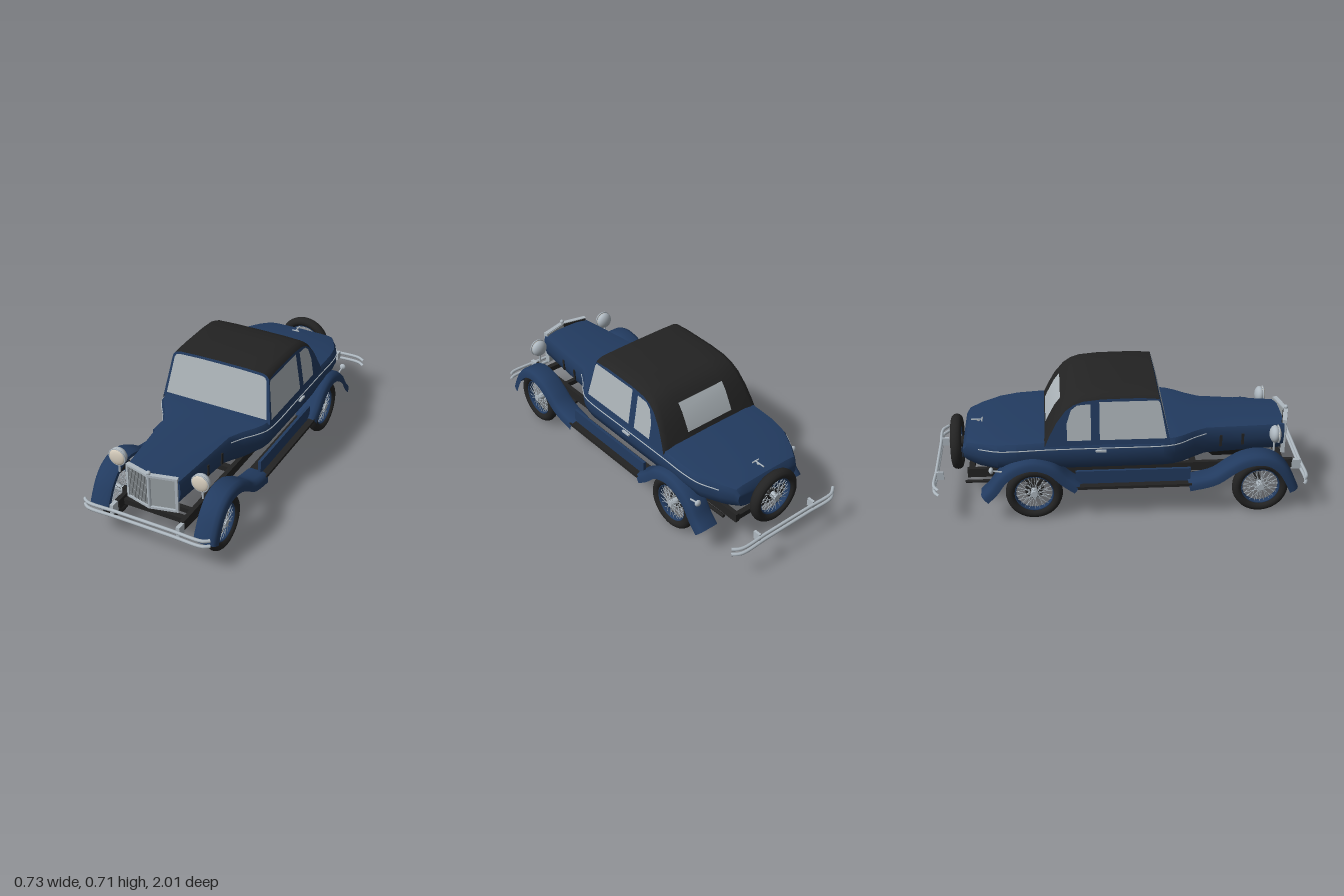
import * as THREE from 'three';
import { toCreasedNormals } from 'three/addons/utils/BufferGeometryUtils.js';

const mat = (name, color, side = THREE.FrontSide) => {
  const m = new THREE.MeshStandardMaterial({ color, side });
  m.name = name;
  return m;
};
const V = (x, y, z) => new THREE.Vector3(x, y, z);
const lerp = THREE.MathUtils.lerp;

export function createModel() {
  const car = new THREE.Group();
  car.name = 'coupe';
  const blue = mat('navy paint', 0x223b60, THREE.DoubleSide);
  const black = mat('black', 0x232323, THREE.DoubleSide);
  const silver = mat('silver', 0xaeb8c0);
  const cream = mat('lamp lens', 0xd6cdbd);
  const glass = mat('window glass', 0xacb4b9, THREE.DoubleSide);
  const grey = mat('radiator panel', 0x989fa3);

  const add = (name, geo, m, parent = car, x = 0, y = 0, z = 0) => {
    const mesh = new THREE.Mesh(geo, m);
    mesh.name = name;
    mesh.position.set(x, y, z);
    parent.add(mesh);
    return mesh;
  };
  const box = (name, w, h, d, m, x, y, z, parent) =>
    add(name, new THREE.BoxGeometry(w, h, d), m, parent, x, y, z);
  const bar = (name, a, b, r, m, parent, sides = 8) => {
    const mesh = add(name, new THREE.CylinderGeometry(r, r, a.distanceTo(b), sides), m, parent);
    mesh.position.copy(a).lerp(b, 0.5);
    mesh.quaternion.setFromUnitVectors(V(0, 1, 0), b.clone().sub(a).normalize());
    return mesh;
  };
  const tube = (name, pts, r, m, parent) =>
    add(name, new THREE.TubeGeometry(new THREE.CatmullRomCurve3(pts, false, 'centripetal'), 40, r, 8), m, parent);
  // Skin rows of points into one surface
  const loft = (rows, crease = 0.6) => {
    const n = rows[0].length, idx = [];
    for (let i = 0; i < rows.length - 1; i++)
      for (let j = 0; j < n - 1; j++) {
        const a = i * n + j, b = a + n;
        idx.push(a, b, a + 1, b, b + 1, a + 1);
      }
    const g = new THREE.BufferGeometry().setFromPoints(rows.flat());
    g.setIndex(idx);
    return toCreasedNormals(g, crease);
  };

  // Lower body and hood: [z, half width, bottom, top]
  const stations = [
    [0.89, 0.155, 0.26, 0.445], [0.68, 0.178, 0.26, 0.452], [0.46, 0.2, 0.255, 0.46],
    [0.39, 0.24, 0.245, 0.463], [0.33, 0.285, 0.24, 0.465], [0.28, 0.313, 0.24, 0.466],
    [0.22, 0.324, 0.24, 0.466], [-0.1, 0.326, 0.24, 0.466], [-0.4, 0.325, 0.24, 0.463],
    [-0.55, 0.322, 0.24, 0.455], [-0.65, 0.305, 0.24, 0.445], [-0.75, 0.255, 0.245, 0.432],
    [-0.815, 0.212, 0.265, 0.418], [-0.835, 0.2, 0.285, 0.385]];
  const half = [[0, 0], [0.45, 0], [0.75, 0.1], [0.93, 0.3], [1, 0.55], [1, 0.84], [0.95, 0.95], [0.75, 0.985], [0, 1]];
  const ring = [...half, ...half.slice(0, -1).reverse().map(([x, y]) => [-x, y])];
  const rows = stations.map(([z, w, b, t]) => ring.map(([x, y]) => V(x * w, lerp(b, t, y), z)));
  const cap = r => r.map(() => V(0, 0.35, r[0].z));
  add('body', loft([cap(rows[0]), ...rows, cap(rows[rows.length - 1])]), blue);
  for (const s of [1, -1])
    tube('beltTrim', stations.slice(2, 12).map(([z, w, b, t]) => V(s * (w + 0.001), lerp(b, t, 0.8), z)), 0.003, silver);

  // Cabin: [top z, base z, roof height]
  const wallX = y => 0.318 - (y - 0.455) * 0.16;
  const cabin = [[0.19, 0.25, 0.706], [0.1, 0.1, 0.714], [-0.1, 0.1 - 0.2, 0.712], [-0.2, -0.2, 0.702],
    [-0.25, -0.25, 0.684], [-0.29, -0.29, 0.655], [-0.34, -0.34, 0.59], [-0.38, -0.38, 0.513], [-0.41, -0.41, 0.445]];
  const at = ([zt, zb, t], x, y) => V(x, y, zt + (zb - zt) * (t - y) / (t - 0.455));
  for (const s of [1, -1])
    add('cabinSide', loft(cabin.map(c => [0.43, c[2] - 0.03].map(y => {
      const h = Math.min(y, c[2] - 0.03);
      return at(c, s * wallX(h), h);
    }))), blue);
  add('roof', loft(cabin.map(c => {
    const t = c[2], w = wallX(t);
    const h = [[w + 0.005, 0.03], [w - 0.006, 0.014], [w - 0.03, 0.005], [0.15, 0.001], [0, 0]];
    return [...h, ...h.slice(0, -1).reverse().map(([x, d]) => [-x, d])].map(([x, d]) => at(c, x, t - d));
  }), 0.9), black);

  // Flat outline bent onto a sloping wall
  const panel = (name, pts, m, place) => {
    const g = new THREE.ShapeGeometry(new THREE.Shape(pts.map(p => new THREE.Vector2(...p))));
    const p = g.attributes.position;
    for (let i = 0; i < p.count; i++) p.setXYZ(i, ...place(p.getX(i), p.getY(i)));
    g.computeVertexNormals();
    add(name, g, m);
  };
  const lean = off => (x, y) => [x, y, at(cabin[0], x, y).z + off];
  const mirrored = h => [...h, ...h.slice().reverse().map(([x, y]) => [-x, y])];
  panel('windshieldFrame', mirrored([[0.32, 0.445], [0.284, 0.676], [0.272, 0.692], [0.248, 0.701], [0.12, 0.705]]), blue, lean(0));
  panel('windshield', mirrored([[0.3, 0.467], [0.272, 0.668], [0.262, 0.684], [0.24, 0.69], [0.12, 0.694]]), glass, lean(0.004));
  for (const s of [1, -1]) {
    const side = (z, y) => [s * (wallX(y) + 0.004), y, z];
    panel('doorWindow', [[0.235, 0.465], [0.2, 0.655], [0.19, 0.67], [-0.115, 0.67], [-0.115, 0.465]], glass, side);
    panel('quarterWindow', [[-0.16, 0.465], [-0.16, 0.66], [-0.23, 0.655], [-0.262, 0.63], [-0.285, 0.56], [-0.285, 0.465]], glass, side);
    box('doorHandle', 0.012, 0.01, 0.055, silver, s * 0.334, 0.408, -0.11);
    for (const z of [0.66, 0.54])
      box('hoodVent', 0.008, 0.065, 0.014, black, s * (0.155 + (0.89 - z) * 0.105 + 0.002), 0.37, z);
  }
  add('rearWindow', loft([[0.634, -0.315], [0.593, -0.346], [0.516, -0.386], [0.492, -0.396]]
    .map(([y, z]) => [V(0.15, y, z), V(-0.15, y, z)])), glass);

  // Trunk handle
  bar('trunkHandlePost', V(0, 0.425, -0.75), V(0, 0.44, -0.77), 0.005, silver);
  bar('trunkHandle', V(-0.022, 0.44, -0.74), V(0.022, 0.44, -0.74), 0.004, silver);
  bar('trunkHandleStem', V(0, 0.44, -0.74), V(0, 0.44, -0.8), 0.004, silver);

  // V-shaped radiator, slatted on one half
  for (const s of [1, -1]) {
    const r = new THREE.Group();
    r.name = 'radiatorHalf';
    r.position.set(0, 0, 0.925);
    r.rotation.y = s * 0.24;
    car.add(r);
    box('radiatorCore', 0.144, 0.19, 0.016, s > 0 ? grey : black, s * 0.074, 0.357, -0.008, r);
    for (const y of [0.263, 0.45]) box('radiatorFrame', 0.148, 0.012, 0.024, silver, s * 0.074, y, 0, r);
    box('radiatorFrame', 0.014, 0.198, 0.024, silver, s * 0.141, 0.357, 0, r);
    if (s < 0) for (let i = 0; i < 12; i++)
      box('radiatorSlat', 0.004, 0.18, 0.008, grey, -0.018 - i * 0.0102, 0.357, 0.002, r);
  }
  bar('radiatorPost', V(0, 0.258, 0.928), V(0, 0.458, 0.928), 0.01, silver);
  add('radiatorCap', new THREE.SphereGeometry(0.012, 12, 8), silver, car, 0, 0.463, 0.925);

  // Fenders swept along a side profile of [z, y]
  const fender = (name, s, path, inner) => {
    const pts = new THREE.CatmullRomCurve3(path.map(([z, y]) => V(0, y, z)), false, 'centripetal');
    const prof = [[inner, -0.022], [inner + 0.004, -0.008], [inner + 0.02, 0], [0.335, 0], [0.355, -0.008], [0.365, -0.025], [0.367, -0.052]];
    const out = [];
    for (let i = 0; i <= 36; i++) {
      const p = pts.getPoint(i / 36), t = pts.getTangent(i / 36);
      out.push(prof.map(([x, d]) => V(s * x, p.y - t.z * d, p.z + t.y * d)));
    }
    add(name, loft(out, 0.8), blue);
  };
  // Wire wheel with its axle along x
  const wheel = (name, x, y, z) => {
    const w = new THREE.Group();
    w.name = name;
    w.position.set(x, y, z);
    car.add(w);
    const hoop = (n, R, r, wide, m) => {
      const t = add(n, new THREE.TorusGeometry(R, r, 12, 40), m, w);
      t.rotation.y = Math.PI / 2;
      t.scale.z = wide;
    };
    hoop('tire', 0.126, 0.026, 1.15, black);
    hoop('rim', 0.102, 0.006, 3, blue);
    bar('hub', V(-0.028, 0, 0), V(0.028, 0, 0), 0.018, silver, w, 16);
    for (let i = 0; i < 44; i++) {
      const a = i / 44 * Math.PI * 2, b = a + (i % 4 < 2 ? 0.5 : -0.5), e = i % 2 ? 0.022 : -0.022;
      bar('spoke', V(e, 0.017 * Math.cos(b), 0.017 * Math.sin(b)), V(e * 0.3, 0.102 * Math.cos(a), 0.102 * Math.sin(a)), 0.0016, silver, w, 5);
    }
    return w;
  };
  for (const s of [1, -1]) {
    fender('frontFender', s, [[0.945, 0.155], [0.92, 0.21], [0.875, 0.285], [0.81, 0.34], [0.735, 0.36], [0.64, 0.345], [0.56, 0.3], [0.48, 0.245], [0.35, 0.215]], 0.243);
    fender('rearFender', s, [[-0.22, 0.215], [-0.28, 0.26], [-0.36, 0.335], [-0.465, 0.367], [-0.57, 0.342], [-0.65, 0.28], [-0.7, 0.21], [-0.745, 0.165]], 0.243);
    wheel('frontWheel', s * 0.305, 0.153, 0.745);
    wheel('rearWheel', s * 0.305, 0.153, -0.465);
    bar('brakeDrum', V(s * 0.262, 0.153, -0.465), V(s * 0.285, 0.153, -0.465), 0.05, black, car, 20);
    box('runningBoard', 0.11, 0.016, 0.62, black, s * 0.307, 0.2, 0.06);
    box('splashApron', 0.016, 0.085, 0.61, blue, s * 0.318, 0.24, 0.06);

    // Headlamps and tail lamps
    const lamp = add('headlamp', new THREE.SphereGeometry(0.047, 24, 16), silver, car, s * 0.237, 0.425, 0.822);
    lamp.scale.z = 0.62;
    const lens = add('headlampLens', new THREE.SphereGeometry(0.045, 24, 16), cream, car, s * 0.237, 0.425, 0.84);
    lens.scale.z = 0.28;
    add('headlampRim', new THREE.TorusGeometry(0.046, 0.004, 8, 32), silver, car, s * 0.237, 0.425, 0.839);
    bar('headlampStand', V(s * 0.24, 0.325, 0.82), V(s * 0.24, 0.385, 0.82), 0.006, silver);
    const tail = add('tailLamp', new THREE.SphereGeometry(0.018, 16, 10), silver, car, s * 0.335, 0.31, -0.685);
    tail.scale.z = 0.7;
    bar('tailLampStem', V(s * 0.335, 0.3, -0.63), V(s * 0.335, 0.31, -0.685), 0.005, silver);

    // Chassis rails and bumper brackets
    box('chassisRail', 0.024, 0.05, 1.76, black, s * 0.185, 0.218, 0.06);
    bar('leafSpring', V(s * 0.185, 0.19, 0.93), V(s * 0.185, 0.165, 0.55), 0.01, black);
    bar('leafSpring', V(s * 0.185, 0.15, -0.25), V(s * 0.185, 0.16, -0.72), 0.01, black);
    box('frontBumperBracket', 0.02, 0.055, 0.05, silver, s * 0.19, 0.212, 0.96);
    box('rearBumperBracket', 0.014, 0.045, 0.04, silver, s * 0.19, 0.205, -0.968);
  }
  wheel('spareWheel', 0, 0.308, -0.88).rotation.y = Math.PI / 2;
  bar('spareMount', V(0, 0.308, -0.82), V(0, 0.308, -0.87), 0.03, black, car, 16);

  // Double-bar bumpers with swept ends
  for (const y of [0.18, 0.213]) {
    const bend = (z, e, x) => [V(-0.36, y, e), V(-x, y, z), V(-0.15, y, z), V(0.15, y, z), V(x, y, z), V(0.36, y, e)];
    tube('frontBumper', bend(0.988, 0.968, 0.33), 0.009, silver);
    tube('rearBumper', bend(-0.99, -0.962, 0.315), 0.009, silver);
  }

  // Running gear underneath
  for (const z of [0.88, 0.4, -0.1, -0.6, -0.8]) box('crossMember', 0.37, 0.03, 0.03, black, 0, 0.21, z);
  box('frontAxle', 0.56, 0.028, 0.024, black, 0, 0.155, 0.745);
  bar('rearAxle', V(-0.28, 0.15, -0.465), V(0.28, 0.15, -0.465), 0.017, black);
  add('differential', new THREE.SphereGeometry(0.046, 20, 14), black, car, 0, 0.146, -0.465);
  bar('driveShaft', V(0, 0.2, 0.4), V(0, 0.15, -0.465), 0.013, black);
  const sump = add('engineSump', new THREE.CylinderGeometry(0.1, 0.055, 0.07, 4, 1).rotateY(Math.PI / 4), black, car, 0, 0.228, 0.6);
  sump.scale.z = 2;
  tube('exhaust', [V(-0.1, 0.2, 0.66), V(-0.125, 0.155, 0.56), V(-0.13, 0.13, 0.14), V(-0.13, 0.128, -0.4), V(-0.13, 0.128, -0.84)], 0.009, black);
  return car;
}
